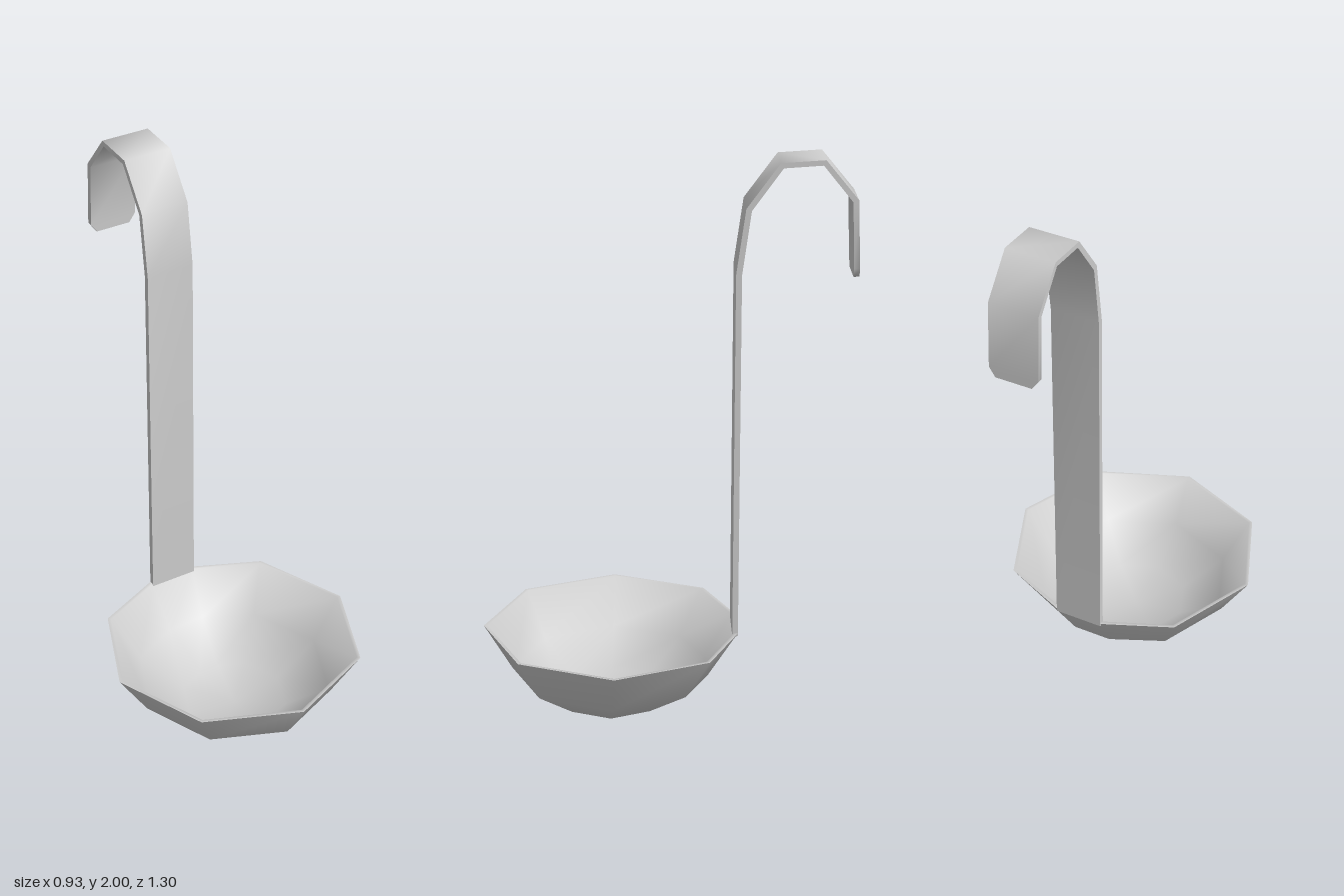
import * as THREE from 'three';
import { toCreasedNormals } from 'three/addons/utils/BufferGeometryUtils.js';

const material = new THREE.MeshStandardMaterial({ color: 0xcccccc });

// Skin a list of equal-length rings and close both ends with a fan to a point.
function loft(name, rings, startPoint, endPoint, crease) {
  const n = rings[0].length;
  const positions = [...rings.flat(2), ...startPoint, ...endPoint];
  const start = rings.length * n, end = start + 1, last = start - n;
  const index = [];
  for (let j = 0; j < n; j++) {
    const k = (j + 1) % n;
    for (let i = 0; i < rings.length - 1; i++) {
      const a = i * n, b = a + n;
      index.push(a + j, a + k, b + k, a + j, b + k, b + j);
    }
    index.push(start, k, j, end, last + j, last + k);
  }
  const geometry = new THREE.BufferGeometry();
  geometry.setAttribute('position', new THREE.Float32BufferAttribute(positions, 3));
  geometry.setIndex(index);
  const mesh = new THREE.Mesh(toCreasedNormals(geometry, crease), material);
  mesh.name = name;
  return mesh;
}

// Octagonal ring whose rear corner is cut flat to meet the handle.
function bowlRing([radius, y, centreZ, halfFlat, backZ]) {
  const ring = [];
  for (let i = 0; i < 8; i++) {
    const a = (i * Math.PI) / 4;
    if (i === 4) ring.push([halfFlat, y, backZ], [-halfFlat, y, backZ]);
    else ring.push([radius * Math.sin(a), y, centreZ + radius * Math.cos(a)]);
  }
  return ring;
}

function createBowl() {
  // radius, height, centre z, half width of rear flat, z of rear flat
  const rings = [
    [0.195, 0.03, 0.197, 0.04, 0.013],
    [0.36, 0.14, 0.19, 0.07, -0.15],
    [0.465, 0.305, 0.183, 0.088, -0.252],
    [0.452, 0.305, 0.183, 0.086, -0.238],
    [0.35, 0.147, 0.19, 0.068, -0.14],
    [0.19, 0.042, 0.197, 0.038, 0.018],
  ].map(bowlRing);
  return loft('bowl', rings, [0, 0, 0.197], [0, 0.017, 0.197], 1.2);
}

function createHandle() {
  // z, y, half width along the centre line of the strip
  const path = [
    [-0.243, 0.295, 0.088], [-0.243, 1.61, 0.088], [-0.274, 1.832, 0.088],
    [-0.382, 1.98, 0.088], [-0.522, 1.989, 0.088], [-0.628, 1.86, 0.088],
    [-0.637, 1.63, 0.088], [-0.638, 1.597, 0.065],
  ];
  const halfThickness = 0.01;
  const rings = path.map(([z, y, w], i) => {
    const p = path[Math.max(i - 1, 0)], q = path[Math.min(i + 1, path.length - 1)];
    const before = new THREE.Vector2(z - p[0], y - p[1]).normalize();
    const after = new THREE.Vector2(q[0] - z, q[1] - y).normalize();
    const t = before.add(after).normalize();
    const dz = t.y * halfThickness, dy = -t.x * halfThickness;
    return [[-w, y + dy, z + dz], [w, y + dy, z + dz], [w, y - dy, z - dz], [-w, y - dy, z - dz]];
  });
  const [z0, y0] = path[0], [z1, y1] = path[path.length - 1];
  return loft('handle', rings, [0, y0, z0], [0, y1, z1], 1.1);
}

export function createModel() {
  const group = new THREE.Group();
  group.name = 'ladle';
  group.add(createBowl(), createHandle());
  return group;
}
